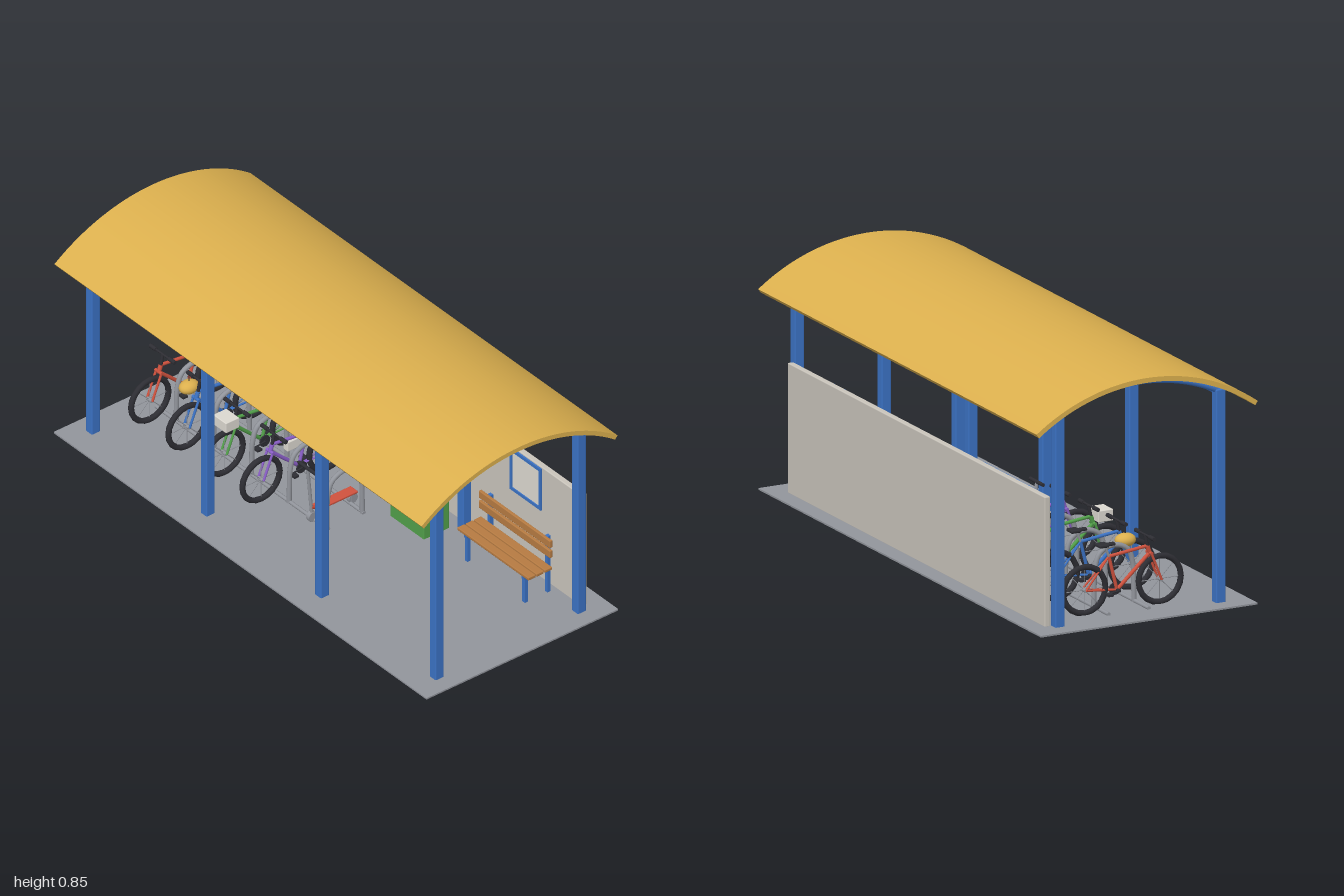
import * as THREE from 'three';
import { RoundedBoxGeometry } from 'three/addons/geometries/RoundedBoxGeometry.js';

const mat = (name, color) => new THREE.MeshStandardMaterial({ name, color });

const M = {
  yellow: mat('yellow', 0xdcb04e), blue: mat('blue', 0x3b72c4), grey: mat('grey', 0x92959c),
  wall: mat('wall', 0xc9c4bb), paper: mat('paper', 0xdcd8d0), red: mat('red', 0xd0523e),
  green: mat('green', 0x52a04a), purple: mat('purple', 0x8b5fc9), black: mat('black', 0x2e2e34),
  wood: mat('wood', 0xb67b42),
};
const V = (x, y, z) => new THREE.Vector3(x, y, z);

function add(parent, name, geometry, material, x = 0, y = 0, z = 0) {
  const mesh = new THREE.Mesh(geometry, material);
  mesh.name = name;
  mesh.position.set(x, y, z);
  parent.add(mesh);
  return mesh;
}

// Box given by its extents; r > 0 rounds the edges
function box(parent, name, material, [x0, x1], [y0, y1], [z0, z1], r = 0) {
  const w = x1 - x0, h = y1 - y0, d = z1 - z0;
  const geo = r ? new RoundedBoxGeometry(w, h, d, 2, r) : new THREE.BoxGeometry(w, h, d);
  return add(parent, name, geo, material, (x0 + x1) / 2, (y0 + y1) / 2, (z0 + z1) / 2);
}

// Straight round bar between two points
function bar(parent, name, material, a, b, r, sides = 10) {
  const mesh = add(parent, name, new THREE.CylinderGeometry(r, r, a.distanceTo(b), sides), material);
  mesh.position.addVectors(a, b).multiplyScalar(0.5);
  mesh.quaternion.setFromUnitVectors(V(0, 1, 0), b.clone().sub(a).normalize());
  return mesh;
}

function group(parent, name, x = 0) {
  const g = new THREE.Group();
  g.name = name;
  g.position.x = x;
  parent.add(g);
  return g;
}

// Hollow rectangular frame of four bars
function frame(parent, name, material, [x0, x1], [y0, y1], z, w) {
  const s = new THREE.Shape([[x0, y0], [x1, y0], [x1, y1], [x0, y1]].map(p => new THREE.Vector2(...p)));
  s.holes.push(new THREE.Path([[x0 + w, y0 + w], [x0 + w, y1 - w], [x1 - w, y1 - w], [x1 - w, y0 + w]]
    .map(p => new THREE.Vector2(...p))));
  add(parent, name, new THREE.ExtrudeGeometry(s, { depth: 0.008, bevelEnabled: false }), material, 0, 0, z);
}

function shelter(root) {
  const g = group(root, 'shelter');
  box(g, 'ground', M.grey, [-1, 1], [0, 0.006], [-0.415, 0.415]);
  box(g, 'backWall', M.wall, [-0.91, 0.91], [0.003, 0.461], [-0.352, -0.33], 0.004);

  // Curved roof sheet and the ribs share one centre
  const cy = 0.138, R = 0.712, half = 0.638;
  const s = new THREE.Shape();
  s.absarc(0, cy, R, Math.PI / 2 - half, Math.PI / 2 + half, false);
  s.absarc(0, cy, R - 0.017, Math.PI / 2 + half, Math.PI / 2 - half, true);
  const roof = new THREE.ExtrudeGeometry(s, { depth: 1.97, bevelEnabled: false, curveSegments: 32 });
  roof.translate(0, 0, -0.985).rotateY(Math.PI / 2);
  add(g, 'roof', roof, M.yellow);

  const ribHalf = 0.455;
  const rib = new THREE.TorusGeometry(0.683, 0.011, 10, 32, ribHalf * 2);
  rib.rotateZ(Math.PI / 2 - ribHalf).rotateY(Math.PI / 2);
  for (const x of [-0.922, -0.307, 0.307, 0.922]) {
    add(g, 'roofRib', rib, M.blue, x, cy, 0);
    for (const z of [-0.308, 0.308])
      box(g, 'post', M.blue, [x - 0.017, x + 0.017], [0.001, 0.755], [z - 0.018, z + 0.018], 0.004);
  }
  for (const z of [-0.308, 0.308])
    bar(g, 'eaveRail', M.blue, V(-0.922, 0.74, z), V(0.922, 0.74, z), 0.011);
}

function rack(root) {
  const g = group(root, 'bikeRack');
  const path = new THREE.CatmullRomCurve3([
    [0.056, 0.002], [0.055, 0.07], [0.051, 0.145], [0.032, 0.195], [-0.021, 0.216],
    [-0.074, 0.195], [-0.093, 0.145], [-0.097, 0.07], [-0.098, 0.002],
  ].map(([z, y]) => V(0, y, z)));
  const hoop = new THREE.TubeGeometry(path, 36, 0.009, 10);
  for (let i = 0; i < 5; i++) add(g, 'rackHoop', hoop, M.grey, -0.788 + i * 0.202, 0, 0);
  for (const z of [0.056, -0.098])
    bar(g, 'rackRail', M.grey, V(-0.895, 0.01, z), V(0.03, 0.01, z), 0.007);
}

function bicycle(root, name, x, paint) {
  const g = group(root, name, x);
  const hubs = [V(0, 0.093, 0.122), V(0, 0.093, -0.167)];
  const crank = V(0, 0.077, -0.042), seat = V(0, 0.198, -0.073);
  const head = V(0, 0.215, 0.074), headLow = V(0, 0.19, 0.083);

  // Wheels
  const tyre = new THREE.TorusGeometry(0.081, 0.0105, 8, 20).rotateY(Math.PI / 2);
  for (const h of hubs) {
    add(g, 'tyre', tyre, M.black, 0, h.y, h.z);
    for (let i = 0; i < 4; i++) {
      const a = (i * Math.PI) / 4, d = V(0, Math.sin(a), Math.cos(a)).multiplyScalar(0.076);
      bar(g, 'spokes', M.grey, h.clone().sub(d), h.clone().add(d), 0.0015, 5);
    }
    bar(g, 'hub', M.grey, V(-0.013, h.y, h.z), V(0.013, h.y, h.z), 0.007);
  }

  // Frame
  bar(g, 'headTube', paint, head, headLow, 0.008);
  bar(g, 'topTube', paint, head, seat, 0.006);
  bar(g, 'downTube', paint, headLow, crank, 0.0065);
  bar(g, 'seatTube', paint, crank, seat, 0.006);
  for (const s of [-1, 1]) {
    const off = V(s * 0.014, 0, 0);
    bar(g, 'forkBlade', paint, headLow.clone().add(off), hubs[0].clone().add(off), 0.0045);
    bar(g, 'seatStay', paint, seat, hubs[1].clone().add(off), 0.0035);
    bar(g, 'chainStay', paint, crank, hubs[1].clone().add(off), 0.0035);
    bar(g, 'crankArm', M.black, V(s * 0.018, 0.077, -0.042), V(s * 0.02, 0.073, -0.042 + s * 0.045), 0.003);
    box(g, 'pedal', M.black, [s * 0.032 - 0.013, s * 0.032 + 0.013], [0.069, 0.077],
      [-0.052 + s * 0.045, -0.032 + s * 0.045]);
    bar(g, 'grip', M.black, V(s * 0.035, 0.255, 0.066), V(s * 0.066, 0.255, 0.066), 0.0075);
  }
  bar(g, 'forkCrown', paint, V(-0.018, 0.19, 0.083), V(0.018, 0.19, 0.083), 0.006);
  bar(g, 'chainring', M.black, V(0.012, 0.077, -0.042), V(0.017, 0.077, -0.042), 0.022, 16);
  bar(g, 'crankAxle', M.black, V(-0.019, 0.077, -0.042), V(0.019, 0.077, -0.042), 0.006);

  // Saddle and handlebar
  bar(g, 'seatPost', M.grey, seat, V(0, 0.236, -0.087), 0.0045);
  box(g, 'saddleNose', M.black, [-0.009, 0.009], [0.235, 0.246], [-0.09, -0.05], 0.005);
  box(g, 'saddleBack', M.black, [-0.021, 0.021], [0.235, 0.247], [-0.118, -0.08], 0.005);
  bar(g, 'stem', M.black, head, V(0, 0.255, 0.066), 0.006);
  bar(g, 'handlebar', M.black, V(-0.06, 0.255, 0.066), V(0.06, 0.255, 0.066), 0.004);
  return g;
}

function scooter(root) {
  const g = group(root, 'scooter', -0.05);
  box(g, 'deck', M.red, [-0.02, 0.02], [0.049, 0.058], [-0.12, 0.05], 0.003);
  bar(g, 'deckNeck', M.red, V(0, 0.054, 0.045), V(0, 0.065, 0.068), 0.007);
  bar(g, 'steeringColumn', M.grey, V(0, 0.03, 0.064), V(0, 0.232, 0.083), 0.006);
  bar(g, 'handlebar', M.black, V(-0.046, 0.231, 0.083), V(0.046, 0.231, 0.083), 0.0065);
  for (const z of [0.064, -0.11])
    bar(g, 'wheel', M.grey, V(-0.008, 0.025, z), V(0.008, 0.025, z), 0.019, 16);
  box(g, 'rearGuard', M.grey, [-0.012, 0.012], [0.02, 0.048], [-0.122, -0.1]);
}

function bench(root) {
  const g = group(root, 'bench');
  for (const x of [0.46, 0.768]) {
    const w = [x - 0.007, x + 0.007];
    box(g, 'frontLeg', M.blue, w, [0.002, 0.112], [-0.206, -0.192]);
    box(g, 'backLeg', M.blue, w, [0.002, 0.235], [-0.304, -0.29]);
    box(g, 'seatSupport', M.blue, w, [0.103, 0.115], [-0.3, -0.188]);
  }
  for (let i = 0; i < 3; i++)
    box(g, 'seatSlat', M.wood, [0.42, 0.803], [0.115, 0.127], [-0.217 - i * 0.036, -0.185 - i * 0.036], 0.003);
  for (const y of [0.166, 0.207])
    box(g, 'backSlat', M.wood, [0.42, 0.803], [y, y + 0.03], [-0.29, -0.278], 0.003);
}

function storageBox(root) {
  const g = group(root, 'storageBox');
  box(g, 'boxBody', M.green, [0.092, 0.273], [0.001, 0.134], [-0.27, -0.16], 0.003);
  box(g, 'boxLid', M.red, [0.085, 0.28], [0.134, 0.148], [-0.276, -0.154], 0.005);
  box(g, 'latch', M.black, [0.17, 0.197], [0.104, 0.124], [-0.161, -0.153]);
  box(g, 'lidCatch', M.black, [0.174, 0.193], [0.122, 0.146], [-0.156, -0.149]);
}

function wallDisplays(root) {
  const g = group(root, 'wallDisplays');
  box(g, 'noticePanel', M.yellow, [-0.8, -0.43], [0.2, 0.45], [-0.331, -0.326]);
  frame(g, 'noticeFrame', M.blue, [-0.808, -0.425], [0.195, 0.456], -0.331, 0.019);
  box(g, 'noticeSheet', M.paper, [-0.787, -0.688], [0.283, 0.41], [-0.327, -0.324]);
  box(g, 'noticeSheet', M.paper, [-0.566, -0.452], [0.297, 0.418], [-0.327, -0.324]);
  box(g, 'noticeCard', M.red, [-0.667, -0.57], [0.255, 0.342], [-0.327, -0.323]);
  box(g, 'hinge', M.black, [-0.82, -0.808], [0.39, 0.418], [-0.331, -0.323]);
  box(g, 'lock', M.wood, [-0.444, -0.432], [0.312, 0.335], [-0.326, -0.32]);
  for (const [m, x, y] of [[M.red, [-0.08, 0.076], [0.225, 0.423]], [M.blue, [0.53, 0.697], [0.285, 0.455]]]) {
    box(g, 'poster', M.paper, [x[0] + 0.003, x[1] - 0.003], [y[0] + 0.003, y[1] - 0.003], [-0.331, -0.327]);
    frame(g, 'posterFrame', m, x, y, -0.331, 0.012);
  }
}

export function createModel() {
  const root = new THREE.Group();
  root.name = 'bikeShelter';
  shelter(root);
  rack(root);
  bicycle(root, 'redBicycle', -0.848, M.red);
  const blueBike = bicycle(root, 'blueBicycle', -0.648, M.blue);
  const greenBike = bicycle(root, 'greenBicycle', -0.449, M.green);
  const purpleBike = bicycle(root, 'purpleBicycle', -0.251, M.purple);

  // Helmet hanging from a handlebar, front basket and frame bag
  add(blueBike, 'helmet', new THREE.SphereGeometry(1, 18, 12), M.yellow, -0.058, 0.2, 0.067)
    .scale.set(0.03, 0.024, 0.038);
  bar(blueBike, 'helmetStrap', M.black, V(-0.058, 0.22, 0.067), V(-0.058, 0.25, 0.067), 0.002, 6);
  box(greenBike, 'basket', M.paper, [-0.035, 0.035], [0.199, 0.24], [0.084, 0.142], 0.003);
  box(purpleBike, 'frameBag', M.paper, [-0.012, 0.012], [0.163, 0.201], [-0.059, 0.016], 0.003);

  scooter(root);
  bench(root);
  storageBox(root);
  wallDisplays(root);
  return root;
}
